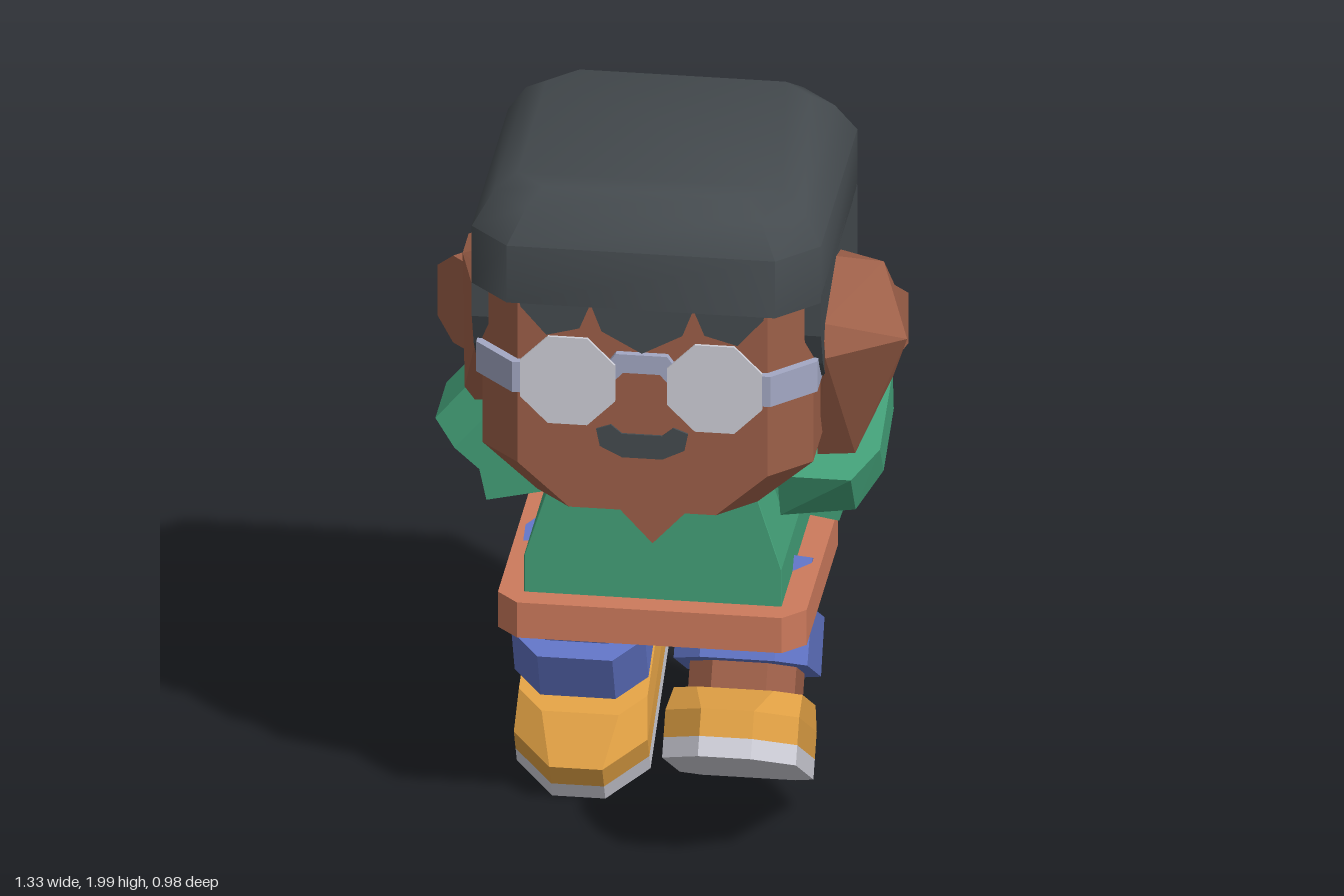
import * as THREE from 'three';
import { toCreasedNormals } from 'three/addons/utils/BufferGeometryUtils.js';
import { ConvexGeometry } from 'three/addons/geometries/ConvexGeometry.js';

const paint = (name, color) => {
  const m = new THREE.MeshStandardMaterial({ color });
  m.name = name;
  return m;
};

// Octagonal ring: height, half width, back z, front z, front and back corner cut
function ring([y, hx, z0, z1, cf, cb = cf]) {
  return [[hx, z1 - cf], [hx, z0 + cb], [hx - cb, z0], [cb - hx, z0],
    [-hx, z0 + cb], [-hx, z1 - cf], [cf - hx, z1], [hx - cf, z1]].map(([x, z]) => [x, y, z]);
}

// Closed solid through a stack of rings, bottom to top
function loft(specs) {
  const rings = specs.map(ring), pos = [];
  const tri = (a, b, c) => pos.push(...a, ...b, ...c);
  for (let r = 0; r < rings.length - 1; r++) {
    for (let i = 0; i < 8; i++) {
      const j = (i + 1) % 8, lo = rings[r], hi = rings[r + 1];
      tri(lo[i], lo[j], hi[j]);
      tri(lo[i], hi[j], hi[i]);
    }
  }
  const bottom = rings[0], top = rings[rings.length - 1];
  for (let i = 1; i < 7; i++) {
    tri(bottom[0], bottom[i + 1], bottom[i]);
    tri(top[0], top[i], top[i + 1]);
  }
  const g = new THREE.BufferGeometry();
  g.setAttribute('position', new THREE.Float32BufferAttribute(pos, 3));
  g.computeVertexNormals();
  return g;
}

// Flat outline in x and y, given depth, starting at z
function plate(points, z, depth) {
  const shape = new THREE.Shape(points.map(([x, y]) => new THREE.Vector2(x, y)));
  return new THREE.ExtrudeGeometry(shape, { depth, bevelEnabled: false }).translate(0, 0, z);
}

// Floor-plan outline in x and z, raised from y by height
const plan = (points, y, height) =>
  plate(points.map(([x, z]) => [x, -z]), 0, height).rotateX(-Math.PI / 2).translate(0, y, 0);

const hull = (points) => new ConvexGeometry(points.map((p) => new THREE.Vector3(...p)));

export function createModel() {
  const skin = paint('skin', 0x9c5f48), dark = paint('dark hair', 0x454b4f);
  const green = paint('green shirt', 0x43a078), rust = paint('rust hem', 0xcc7a5c);
  const blue = paint('blue shorts', 0x6073c4), yellow = paint('yellow shoe', 0xe0a044);
  const pale = paint('pale grey', 0xcfcfd8), steel = paint('steel frame', 0xa3a8c4);

  const model = new THREE.Group();
  model.name = 'figure';
  const body = new THREE.Group();
  body.name = 'body';
  body.position.x = -0.03;
  model.add(body);
  const add = (parent, name, geometry, material) => {
    const mesh = new THREE.Mesh(geometry, material);
    mesh.name = name;
    parent.add(mesh);
    return mesh;
  };

  // Shirt, hem and open collar
  add(body, 'shirt', loft([[0.7, 0.35, -0.38, 0.23, 0.002], [0.83, 0.35, -0.38, 0.23, 0.002],
    [1.1, 0.265, -0.315, 0.23, 0.002]]), green);
  add(body, 'hem', loft([[0.615, 0.42, -0.45, 0.3, 0.06], [0.72, 0.42, -0.45, 0.3, 0.06]]), rust);
  add(body, 'collar', plate([[-0.18, 1.085], [0, 0.89], [0.18, 1.085]], 0.23, 0.006), skin);

  // Head
  add(body, 'head', loft([[1.085, 0.3, -0.45, 0.44, 0.1], [1.21, 0.45, -0.45, 0.44, 0.11],
    [1.8, 0.45, -0.45, 0.44, 0.11]]), skin);
  add(body, 'mouth', plate([[-0.125, 1.325], [-0.085, 1.34], [-0.055, 1.315], [0.055, 1.315],
    [0.085, 1.34], [0.125, 1.325], [0.115, 1.275], [0.055, 1.245], [-0.055, 1.245],
    [-0.115, 1.275]], 0.44, 0.006), dark);

  // Hair: rounded cap, back slab, jagged fringe and side panels
  add(body, 'hairCap', toCreasedNormals(loft([[1.7, 0.475, -0.48, 0.47, 0.11],
    [1.87, 0.475, -0.48, 0.47, 0.11], [1.96, 0.42, -0.425, 0.415, 0.1],
    [2, 0.36, -0.37, 0.36, 0.08]]), 0.9), dark);
  add(body, 'hairBack', plan([[0.475, -0.28], [0.475, -0.37], [0.365, -0.48], [-0.365, -0.48],
    [-0.475, -0.37], [-0.475, -0.28]], 1.225, 0.48), dark);
  add(body, 'fringe', plate([[-0.34, 1.72], [-0.33, 1.68], [-0.26, 1.6], [-0.17, 1.625],
    [-0.14, 1.7], [-0.11, 1.62], [0, 1.56], [0.11, 1.62], [0.14, 1.7], [0.17, 1.625],
    [0.26, 1.6], [0.33, 1.68], [0.34, 1.72]], 0.435, 0.014), dark);
  // Outline runs along -z, so a quarter turn lays it on the side of the head
  const sidePanel = [[-0.36, 1.72], [-0.36, 1.6], [-0.32, 1.5], [-0.27, 1.44], [-0.2, 1.48],
    [0.02, 1.55], [0.22, 1.5], [0.285, 1.225], [0.37, 1.225], [0.37, 1.72]];

  // Glasses
  const bridge = [[-0.12, 1.49], [-0.07, 1.56], [0.07, 1.56], [0.12, 1.49], [0.1, 1.45],
    [0.05, 1.505], [-0.05, 1.505], [-0.1, 1.45]];
  add(body, 'bridge', plate(bridge, 0.44, 0.02), steel);
  const band = [[0.464, 0.15], [0.464, 0.35], [0.352, 0.463], [0.28, 0.463], [0.28, 0.43],
    [0.33, 0.43], [0.44, 0.33], [0.44, 0.15]];

  // Ear outline, outer end at x = 0
  const ear = [[-0.25, -0.13], [-0.07, -0.13], [0, -0.075], [0, 0.075], [-0.07, 0.13], [-0.25, 0.13]];

  for (const s of [1, -1]) {
    const side = s > 0 ? 'left' : 'right';
    const panel = plate(sidePanel, 0, 0.045).rotateY(Math.PI / 2);
    panel.translate(s > 0 ? 0.43 : -0.475, 0, 0);
    add(body, side + 'HairPanel', panel, dark);

    add(body, side + 'Temple', plan(band.map(([x, z]) => [s * x, z]), 1.43, 0.09), steel);
    const lens = new THREE.CylinderGeometry(0.14, 0.14, 0.009, 8).toNonIndexed();
    lens.rotateY(Math.PI / 8).rotateX(Math.PI / 2).translate(s * 0.2, 1.475, 0.464);
    lens.computeVertexNormals();
    add(body, side + 'Lens', lens, pale);

    const earMesh = add(body, side + 'Ear', plate(ear, -0.065, 0.13), skin);
    earMesh.position.set(s * 0.595, 1.41, -0.22);
    earMesh.rotation.y = s > 0 ? Math.PI / 4 : 3 * Math.PI / 4;

    // Leg stands on its heel, swung forward on the left and back on the right
    const leg = new THREE.Group();
    leg.name = side + 'Leg';
    leg.position.set(s * 0.23, s > 0 ? 0.09 : 0.28, s > 0 ? 0 : -0.49);
    leg.rotation.x = THREE.MathUtils.degToRad(s > 0 ? -31 : 28);
    body.add(leg);
    add(leg, 'sole', loft([[0, 0.182, 0, 0.575, 0.11, 0.055], [0.055, 0.182, 0, 0.575, 0.11, 0.055]]), pale);
    add(leg, 'shoe', loft([[0.055, 0.182, 0, 0.575, 0.11, 0.055], [0.13, 0.182, 0, 0.575, 0.11, 0.055],
      [0.2, 0.175, 0.01, 0.44, 0.07, 0.055]]), yellow);
    add(leg, 'shin', loft([[0.18, 0.145, 0.04, 0.37, 0.07], [0.32, 0.145, 0.04, 0.37, 0.07]]), skin);
    add(leg, 'cuff', loft([[0.28, 0.182, -0.035, 0.445, 0.08], [0.44, 0.182, -0.02, 0.435, 0.08]]), blue);
    add(leg, 'shortsLeg', loft([[0.43, 0.165, 0.01, 0.38, 0.08], [0.58, 0.165, 0.02, 0.36, 0.08]]), blue);
  }

  // Left arm, bent up beside the head
  add(model, 'leftUpperArm', hull([[0.2, 0.93, 0.03], [0.2, 0.93, -0.25], [0.45, 0.89, 0.03],
    [0.45, 0.89, -0.25], [0.51, 1.08, 0.03], [0.51, 1.08, -0.25], [0.2, 1.12, 0.03],
    [0.2, 1.12, -0.25]]), green);
  const leftCuff = add(model, 'leftSleeve', hull([[0.3, -0.08, 0.235], [0.3, -0.08, -0.235],
    [0.3, 0.08, 0.235], [0.3, 0.08, -0.235], [0.5, -0.08, 0.2], [0.5, -0.08, -0.2],
    [0.5, 0.08, 0.235], [0.5, 0.08, -0.235], [0.565, -0.04, 0.09], [0.565, -0.04, -0.13],
    [0.565, 0.08, 0.12], [0.565, 0.08, -0.16]]), green);
  leftCuff.position.set(0, 1.1, -0.08);
  leftCuff.rotation.x = 0.41;
  add(model, 'leftForearm', hull([[0.4, 1.12, 0.1], [0.5, 1.12, 0.08], [0.5, 1.2, -0.1],
    [0.4, 1.2, -0.1], [0.45, 1.51, 0.31], [0.44, 1.6, 0.28], [0.655, 1.52, 0.18],
    [0.61, 1.38, 0.12], [0.57, 1.67, 0.02], [0.44, 1.695, 0.055], [0.44, 1.67, -0.04],
    [0.6, 1.56, -0.03]]), skin);

  // Right arm, tucked closer to the head
  add(model, 'rightUpperArm', hull([[-0.25, 0.95, 0.03], [-0.25, 0.95, -0.25], [-0.51, 0.89, 0.03],
    [-0.51, 0.89, -0.25], [-0.55, 1.08, 0.03], [-0.55, 1.08, -0.25], [-0.25, 1.12, 0.03],
    [-0.25, 1.12, -0.25]]), green);
  const rightCuff = add(model, 'rightSleeve', hull([[-0.14, -0.09, 0.1], [-0.14, -0.09, -0.12],
    [-0.14, 0.09, 0.1], [-0.14, 0.09, -0.12], [0.14, -0.09, 0.18], [0.14, -0.09, -0.2],
    [0.14, 0.09, 0.18], [0.14, 0.09, -0.2], [-0.06, -0.09, 0.17], [-0.06, 0.09, 0.17],
    [-0.06, -0.09, -0.2], [-0.06, 0.09, -0.2]]), green);
  rightCuff.position.set(-0.485, 1.1, -0.08);
  rightCuff.rotation.z = -0.7;
  add(model, 'rightForearm', hull([[-0.5, 1.14, 0.04], [-0.5, 1.14, -0.14], [-0.565, 1.24, 0.06],
    [-0.565, 1.24, -0.1], [-0.565, 1.66, 0.1], [-0.565, 1.66, -0.02], [-0.5, 1.69, 0.12],
    [-0.5, 1.69, -0.02], [-0.5, 1.52, 0.2], [-0.4, 1.6, 0.22], [-0.4, 1.14, 0.04],
    [-0.4, 1.6, -0.05], [-0.4, 1.14, -0.14]]), skin);

  return model;
}
